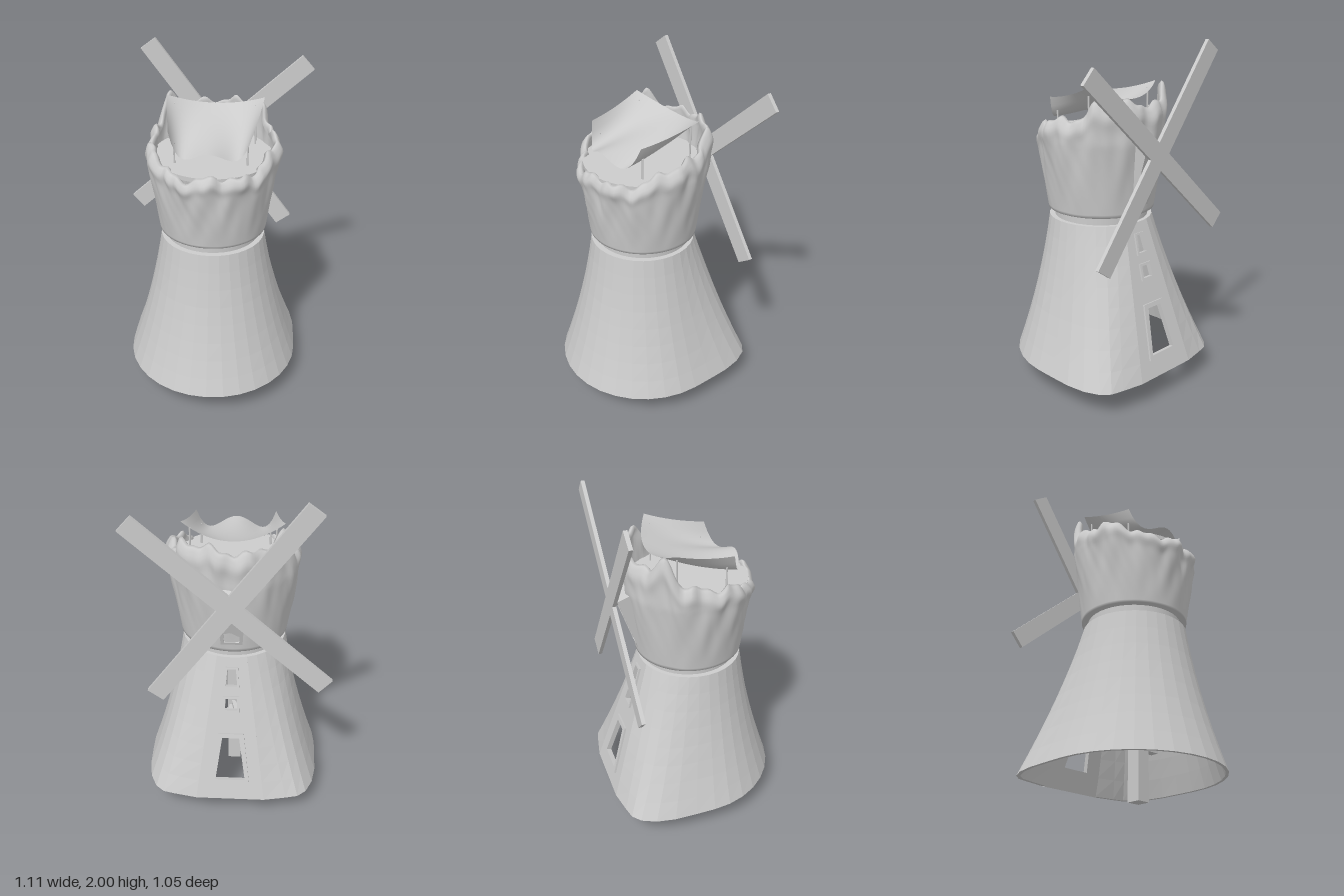
import * as THREE from 'three';

const smooth = () => new THREE.MeshStandardMaterial({ color: 0xcccccc, side: THREE.DoubleSide });
const flat = () => new THREE.MeshStandardMaterial({ color: 0xcccccc, side: THREE.DoubleSide, flatShading: true });
const { lerp } = THREE.MathUtils;

function add(parent, name, geometry, material, x = 0, y = 0, z = 0) {
  const mesh = new THREE.Mesh(geometry, material);
  mesh.name = name;
  mesh.position.set(x, y, z);
  parent.add(mesh);
  return mesh;
}

// Skin a list of cross-sections, each a list of [x, y, z] points
function loft(rings, closed) {
  const n = rings[0].length, index = [];
  for (let r = 0; r < rings.length - 1; r++) {
    for (let i = 0; i < (closed ? n : n - 1); i++) {
      const a = r * n + i, b = r * n + (i + 1) % n;
      index.push(a, b, b + n, a, b + n, a + n);
    }
  }
  const g = new THREE.BufferGeometry();
  g.setAttribute('position', new THREE.Float32BufferAttribute(rings.flat(2), 3));
  g.setIndex(index);
  g.computeVertexNormals();
  return g;
}

// Trapezoid outline: half-width w0 at height v0, w1 at height v1
const trapezoid = (w0, v0, w1, v1, Type = THREE.Shape) => new Type([
  new THREE.Vector2(-w0, v0), new THREE.Vector2(w0, v0),
  new THREE.Vector2(w1, v1), new THREE.Vector2(-w1, v1)]);

const slab = (shape, depth, front) =>
  new THREE.ExtrudeGeometry(shape, { depth, bevelEnabled: false }).translate(0, 0, front - depth);

function frame(w0, v0, w1, v1, border, depth, front) {
  const s = trapezoid(w0, v0, w1, v1);
  s.holes.push(trapezoid(w0 - border, v0 + border, w1 - border, v1 - border, THREE.Path));
  return slab(s, depth, front);
}

// Plan of the tower from the front to the edge of the flat back, on the +x side
const backCorner = [[0.514, -0.12], [0.51, -0.25], [0.49, -0.36], [0.45, -0.445], [0.4, -0.488], [0.33, -0.505], [0.2, -0.53]];
const halfPlan = [];
for (let i = 0; i <= 8; i++) {
  const a = i / 8 * Math.PI / 2;
  halfPlan.push([0.515 * Math.sin(a), 0.52 * Math.cos(a)]);
}
halfPlan.push(...backCorner);

function towerRing(t, inset) {
  const last = halfPlan.length - 1;
  const half = halfPlan.map(([x, z], i) => {
    const f = i / last, a = f * (Math.PI - 0.287);
    const k = t + 0.43 * t * (1 - t) * (1 - f ** 4);
    const s = 1 - inset;
    return [lerp(x, 0.3 * Math.sin(a), k) * s, lerp(0.15, 1, t), lerp(z, 0.015 + 0.3 * Math.cos(a), k) * s];
  });
  const mirrored = half.slice(1).reverse().map(([x, y, z]) => [-x, y, z]);
  return [...mirrored, ...half];
}

function buildTower(root) {
  const tower = new THREE.Group();
  tower.name = 'tower';
  root.add(tower);

  const rings = [];
  for (let i = 0; i <= 8; i++) rings.push(towerRing(i / 8, 0));
  for (let i = 8; i >= 0; i--) rings.push(towerRing(i / 8, 0.035));
  rings.push(towerRing(0, 0));
  add(tower, 'towerWall', loft(rings, false), flat());

  // Leaning back panel with a door and two windows
  const back = new THREE.Group();
  back.name = 'backPanel';
  back.position.set(0, 0.15, -0.53);
  back.rotation.set(-Math.atan(0.257 / 0.85), Math.PI, 0, 'YXZ');
  tower.add(back);
  const openings = [
    ['doorFrame', 0.112, 0.104, 0.075, 0.42, 0.026],
    ['lowerWindowFrame', 0.05, 0.553, 0.046, 0.65, 0.014],
    ['upperWindowFrame', 0.045, 0.7, 0.036, 0.825, 0.012]];
  const panel = trapezoid(0.2, 0, 0.085, 0.888);
  for (const [name, w0, v0, w1, v1, b] of openings) {
    panel.holes.push(trapezoid(w0 - b, v0 + b, w1 - b, v1 - b, THREE.Path));
    add(back, name, frame(w0, v0, w1, v1, b, 0.03, 0.012), flat());
  }
  add(back, 'panel', slab(panel, 0.018, 0), flat());

  // Ledge and neck under the cap
  add(tower, 'ledge', new THREE.RingGeometry(0.24, 0.299, 40).rotateX(-Math.PI / 2), flat(), 0, 1, 0.015);
  add(tower, 'neck', new THREE.CylinderGeometry(0.272, 0.272, 0.06, 40, 1, true), smooth(), 0, 1.03, 0.01);
}

// Height of the ragged rim; angle 0 is the front, positive toward +x
function rimHeight(a) {
  const base = 1.575 - 0.105 * Math.cos(a);
  const ragged = 0.018 * Math.sin(5 * a + 1) + 0.014 * Math.sin(11 * a + 2) + 0.009 * Math.sin(23 * a);
  const peak = 0.1 * Math.exp(-(((a + 2.25) / 0.12) ** 2)) + 0.04 * Math.exp(-(((a - 2.3) / 0.15) ** 2));
  return base + ragged + peak;
}

function buildCap(root) {
  const cap = new THREE.Group();
  cap.name = 'cap';
  root.add(cap);
  const N = 144, M = 32;
  const bumps = (a, t) => t * (
    0.008 * Math.sin(7 * a + 4 * t) + 0.006 * Math.sin(13 * a - 6 * t + 1) +
    0.004 * Math.sin(29 * a + 9 * t) * Math.sin(11 * t + 3 * a) +
    0.005 * Math.sin(19 * a + 2) * Math.cos(8 * t + 2 * a));
  const outer = (a, t, y) => lerp(0.308, 0.366, Math.min(1, (y - 1.05) / 0.42)) + bumps(a, t)
    + 0.012 * Math.exp(-(((t - 0.9) / 0.08) ** 2)) - 0.02 * t ** 12;
  const ring = fn => Array.from({ length: N }, (_, i) => {
    const a = -Math.PI + i / N * 2 * Math.PI;
    const [r, y] = fn(a);
    return [r * Math.sin(a), y, 0.01 + r * Math.cos(a)];
  });
  const rings = [ring(() => [0.26, 1.05])];
  for (let j = 0; j <= M; j++) {
    const t = j / M;
    rings.push(ring(a => { const y = lerp(1.05, rimHeight(a), t); return [outer(a, t, y), y]; }));
  }
  // Rolled lip, then the inner face
  rings.push(ring(a => [outer(a, 1, rimHeight(a)) - 0.012, rimHeight(a) + 0.007]));
  for (const t of [0.98, 0.9, 0.75, 0.5, 0.05]) {
    rings.push(ring(a => { const y = lerp(1.05, rimHeight(a), t); return [outer(a, t, y) - 0.034, y]; }));
  }
  add(cap, 'raggedWall', loft(rings, true), smooth());
  add(cap, 'floor', new THREE.CylinderGeometry(0.335, 0.335, 0.025, 48), flat(), 0, 1.475, 0.01);

  // Framed dormer leaning out behind the axle
  const dormer = new THREE.Group();
  dormer.name = 'dormer';
  dormer.position.set(0, 1.1, -0.305);
  dormer.rotation.set(0.32, Math.PI, 0, 'YXZ');
  cap.add(dormer);
  add(dormer, 'dormerFrame', frame(0.06, 0, 0.08, 0.36, 0.018, 0.09, 0), flat());
  add(dormer, 'dormerPanel', slab(trapezoid(0.055, 0.005, 0.075, 0.355), 0.05, -0.015), flat());
}

// Sagging cloth on four thin poles
function buildCanopy(root) {
  const canopy = new THREE.Group();
  canopy.name = 'canopy';
  root.add(canopy);
  const clothPoint = (u, v) => {
    const bow = 1 - u * u;
    const back = 1.69 + 0.07 * u * u;
    const front = 1.6 - 0.25 * u * u + 0.33 * u ** 4;
    return [u * (0.275 - 0.05 * v),
      lerp(back, front, v) - 0.1 * v * (1 - v) * (1 - 0.5 * u * u),
      lerp(-0.15 - 0.08 * bow, 0.19 + 0.1 * bow, v)];
  };
  const rows = [];
  for (let j = 0; j <= 16; j++) {
    rows.push(Array.from({ length: 25 }, (_, i) => clothPoint(i / 12 - 1, j / 16)));
  }
  add(canopy, 'cloth', loft(rows, false), smooth());
  for (const u of [-0.85, 0.85]) {
    for (const v of [0.1, 0.85]) {
      const [x, y, z] = clothPoint(u, v), h = y - 1.485;
      add(canopy, 'pole', new THREE.CylinderGeometry(0.005, 0.005, h, 8), smooth(), x, 1.485 + h / 2, z);
    }
  }
}

function buildSails(root) {
  const sails = new THREE.Group();
  sails.name = 'sails';
  sails.position.set(0, 1.405, -0.435);
  root.add(sails);
  for (const angle of [-0.935, 0.737]) {
    add(sails, 'sailArm', new THREE.BoxGeometry(1.398, 0.106, 0.022), flat()).rotation.z = angle;
  }
  add(sails, 'axle', new THREE.CylinderGeometry(0.024, 0.024, 0.13, 16).rotateX(Math.PI / 2), smooth(), 0, 0, 0.055);
}

function buildStairs(root) {
  add(root, 'centrePost', new THREE.BoxGeometry(0.08, 1.47, 0.08), flat(), 0, 0.735, 0.04);
  const stairs = new THREE.Group();
  stairs.name = 'spiralStairs';
  stairs.position.z = 0.04;
  root.add(stairs);
  for (let i = 0; i < 34; i++) {
    const step = add(stairs, 'step', new THREE.BoxGeometry(0.1, 0.025, 0.05).translate(0.08, 0, 0), flat(), 0, 0.3 + i * 0.032, 0);
    step.rotation.y = i * 0.36;
  }
}

export function createModel() {
  const root = new THREE.Group();
  root.name = 'windmill';
  buildTower(root);
  buildCap(root);
  buildCanopy(root);
  buildSails(root);
  buildStairs(root);
  return root;
}
